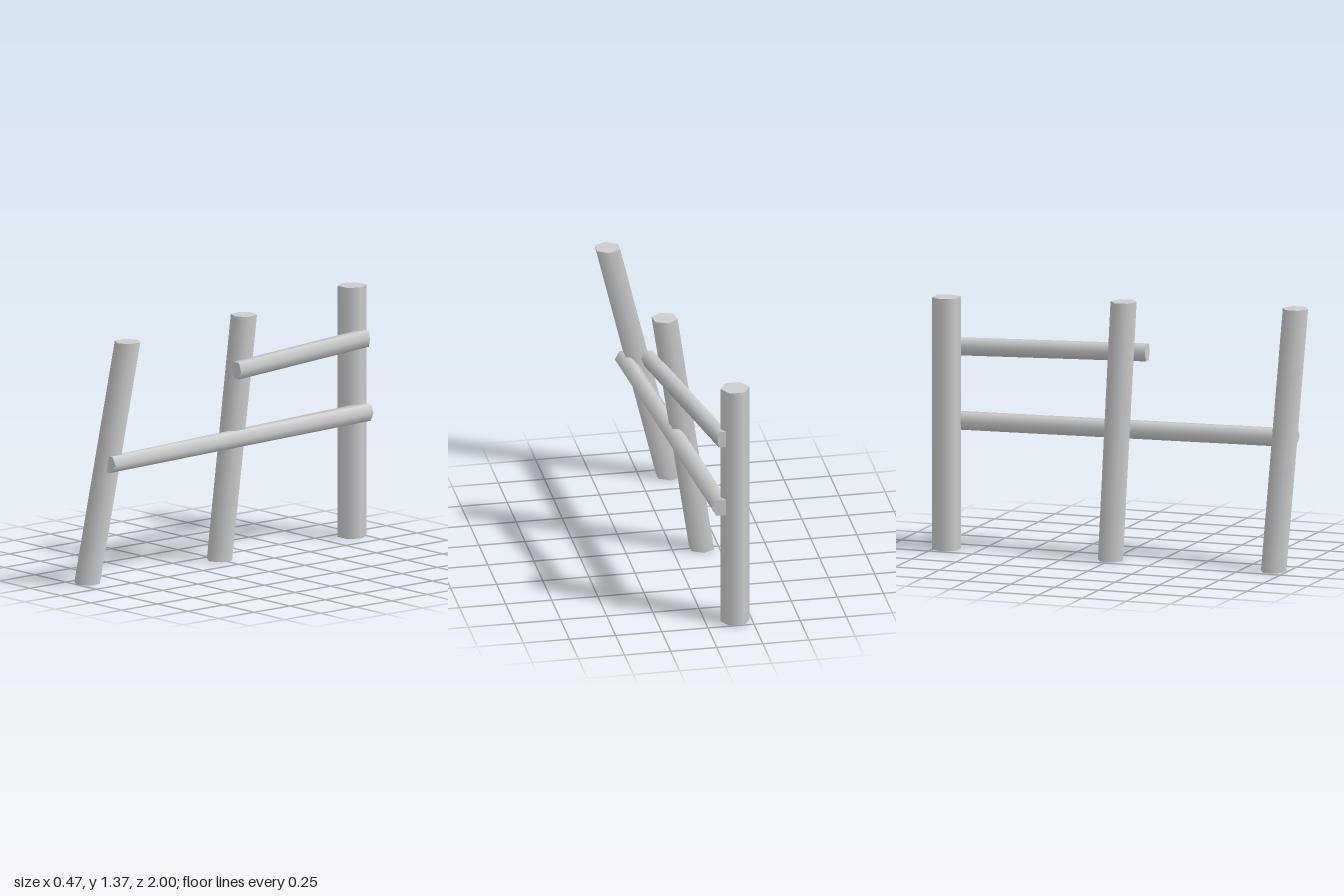
import * as THREE from 'three';

const material = new THREE.MeshStandardMaterial({ color: 0xcccccc });

// Regular hexagon, as six [u, v] offsets starting at the given angle in degrees.
function hexagon(radius, degrees) {
  return Array.from({ length: 6 }, (_, i) => {
    const a = THREE.MathUtils.degToRad(degrees + i * 60);
    return [radius * Math.cos(a), radius * Math.sin(a)];
  });
}

// Half of a point-symmetric hexagon, completed by mirroring through its centre.
function symmetric(half) {
  return [...half, ...half.map(([u, v]) => [-u, -v])];
}

// Six-sided beam along y, with level ends. Each end is { at: [x, y, z], section }.
function beam(low, high) {
  const geometry = new THREE.CylinderGeometry(1, 1, 1, 6);
  const { position, normal } = geometry.attributes;
  for (let i = 0; i < position.count; i++) {
    const x = position.getX(i), z = position.getZ(i);
    const end = position.getY(i) > 0 ? high : low;
    let offset = [0, 0];
    if (Math.hypot(x, z) > 0.5) {
      const k = Math.round((Math.atan2(z, x) - Math.PI / 6) / (Math.PI / 3));
      offset = end.section[(k + 6) % 6];
    }
    const [u, v] = offset;
    position.setXYZ(i, end.at[0] + u, end.at[1], end.at[2] + v);
    // Sides are smooth, caps stay flat
    if (Math.abs(normal.getY(i)) < 0.5) {
      const length = Math.hypot(u, v);
      normal.setXYZ(i, u / length, 0, v / length);
    }
  }
  return geometry;
}

export function createModel() {
  const group = new THREE.Group();
  const add = (name, geometry) => {
    const mesh = new THREE.Mesh(geometry, material);
    mesh.name = name;
    group.add(mesh);
  };

  // Posts: the back one upright, the others leaning ever further to the left
  const height = 1.365;
  const posts = [
    { name: 'backPost', z: -0.932, foot: -0.16, top: -0.16, r: 0.078, turn: [0, 0] },
    { name: 'middlePost', z: 0, foot: -0.158, top: 0.042, r: 0.071, turn: [30, 21] },
    { name: 'frontPost', z: 0.928, foot: -0.158, top: 0.173, r: 0.072, turn: [30, 30] },
  ];
  for (const { name, z, foot, top, r, turn } of posts) {
    add(name, beam(
      { at: [foot, 0, z], section: hexagon(r, turn[0]) },
      { at: [top, height, z], section: hexagon(r, turn[1]) },
    ));
  }

  // Rails: built upright, then laid along z
  const rails = [
    {
      name: 'lowerRail', y: 0.685, back: [-0.082, -0.97], front: [0.07, 0.97],
      backSection: symmetric([[0.054, 0], [0.03, 0.045], [-0.032, 0.045]]),
      frontSection: symmetric([[0.055, 0], [0.006, 0.045], [-0.03, 0.045]]),
    },
    {
      name: 'upperRail', y: 1.085, back: [-0.09, -0.97], front: [0.108, 0.11],
      backSection: symmetric([[0.032, 0], [0.024, 0.045], [-0.022, 0.045]]),
      frontSection: symmetric([[0.038, 0], [0.022, 0.045], [-0.022, 0.045]]),
    },
  ];
  for (const { name, y, back, front, backSection, frontSection } of rails) {
    const geometry = beam(
      { at: [back[0], back[1], -y], section: backSection },
      { at: [front[0], front[1], -y], section: frontSection },
    );
    geometry.rotateX(Math.PI / 2);
    add(name, geometry);
  }

  return group;
}
